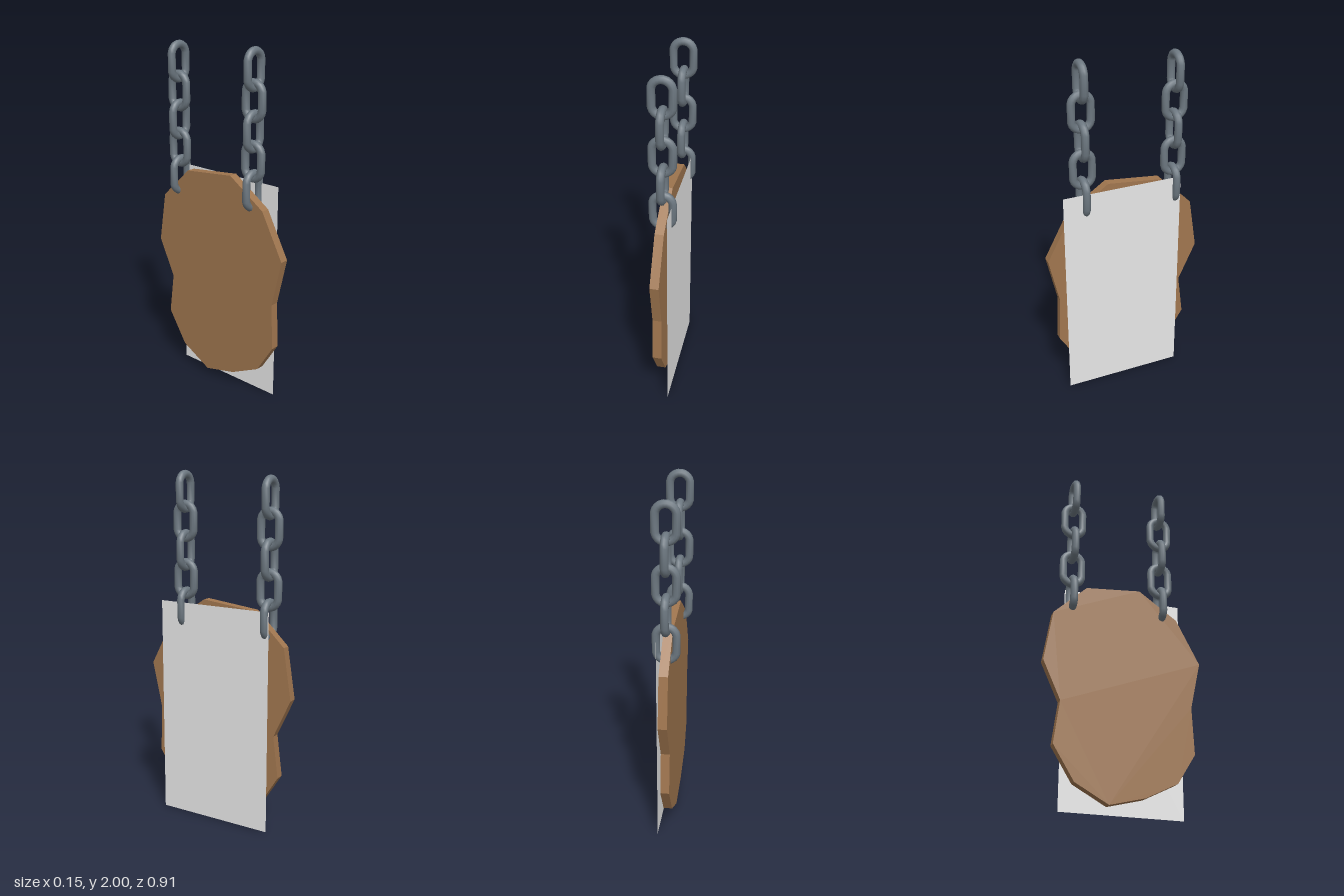
import * as THREE from 'three';

const wood = new THREE.MeshStandardMaterial({ name: 'wood', color: 0xa0764f });
const iron = new THREE.MeshStandardMaterial({ name: 'iron', color: 0x6c7780 });
const paper = new THREE.MeshStandardMaterial({ name: 'paper', color: 0xe7e7e7, side: THREE.DoubleSide });

function part(name, geometry, material) {
  const mesh = new THREE.Mesh(geometry, material);
  mesh.name = name;
  return mesh;
}

// Rough-cut plank: outline as [z, y], extruded across x
function boardGeometry() {
  const outline = [
    [0.095, 1.296], [0.32, 1.143], [0.456, 0.885], [0.397, 0.615], [0.408, 0.347],
    [0.305, 0.18], [0.12, 0.087], [-0.08, 0.037], [-0.268, 0.14], [-0.386, 0.33],
    [-0.355, 0.57], [-0.456, 0.79], [-0.41, 1.08], [-0.222, 1.262],
  ];
  const shape = new THREE.Shape(outline.map(([z, y]) => new THREE.Vector2(-z, y)));
  const geometry = new THREE.ExtrudeGeometry(shape, { depth: 0.05, bevelEnabled: false });
  return geometry.translate(0, 0, -0.025).rotateY(Math.PI / 2);
}

// Oval link: a ring whose upper and lower halves are pulled apart
function linkGeometry() {
  const segments = 20, halfStraight = 0.041;
  const geometry = new THREE.TorusGeometry(0.0545, 0.022, 10, segments);
  geometry.rotateZ(Math.PI / segments);
  const pos = geometry.attributes.position;
  for (let i = 0; i < pos.count; i++) {
    pos.setY(i, pos.getY(i) + Math.sign(pos.getY(i)) * halfStraight);
  }
  return geometry;
}

// Five links, each turned a quarter from the one above
function makeChain(name, geometry, top, z) {
  const chain = new THREE.Group();
  chain.name = name;
  for (let i = 0; i < 5; i++) {
    const link = part('chainLink', geometry, iron);
    link.position.set(0, top - 0.1175 - i * 0.1615, z);
    link.rotation.y = (i % 2) * Math.PI / 2;
    chain.add(link);
  }
  return chain;
}

export function createModel() {
  const model = new THREE.Group();
  model.name = 'hangingSign';

  model.add(part('board', boardGeometry(), wood));

  // Flat sheet hung just off the board's left face
  const sheet = part('sheet', new THREE.PlaneGeometry(0.695, 1.27), paper);
  sheet.rotation.y = Math.PI / 2;
  sheet.position.set(0.051, 0.635, 0.0175);
  model.add(sheet);

  const link = linkGeometry();
  model.add(makeChain('frontChain', link, 2.0, 0.232));
  model.add(makeChain('backChain', link, 1.983, -0.303));
  return model;
}
